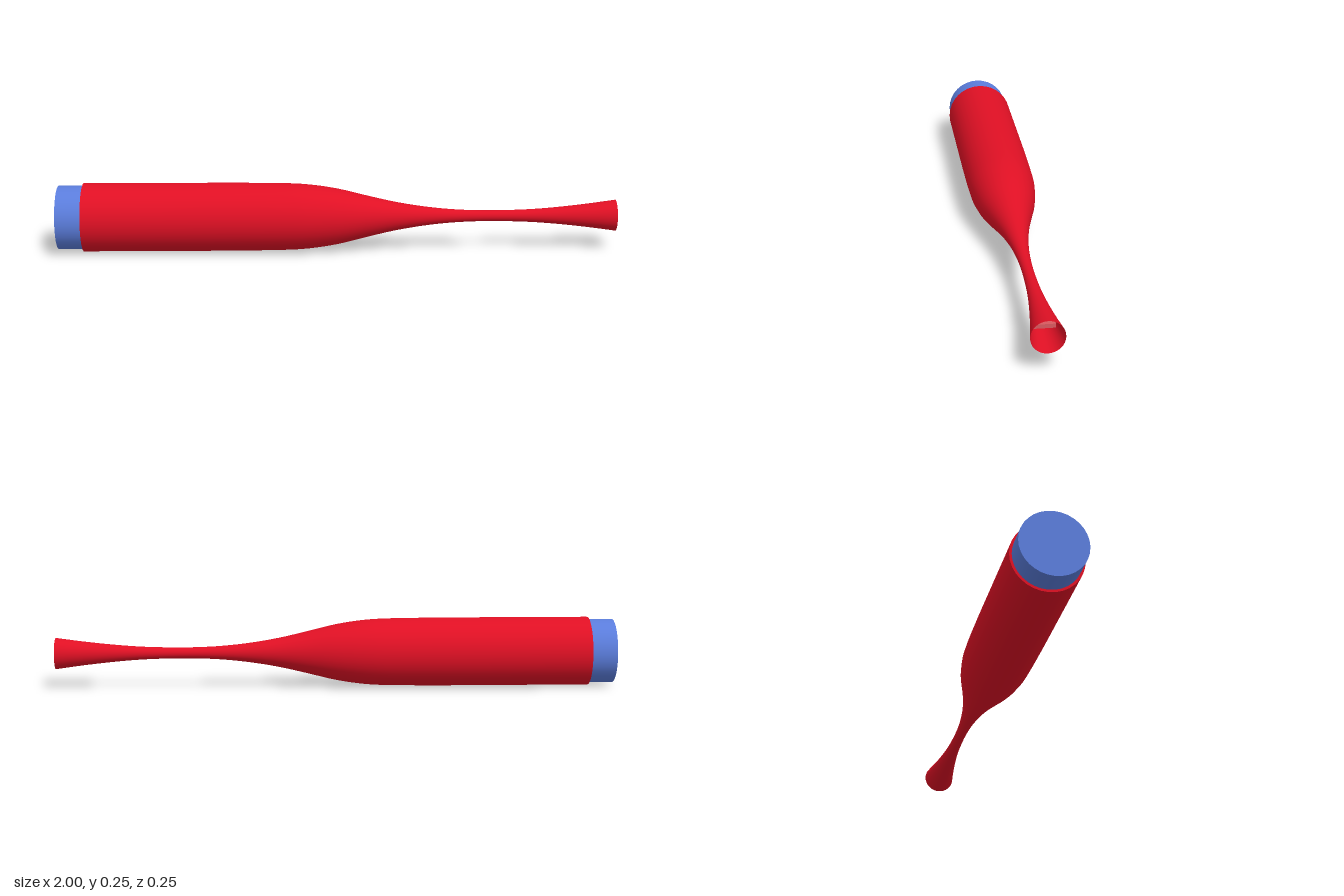
import * as THREE from 'three';

const AXIS_Y = 0.125;
const SIDES = 32;

// Turn a list of [x, radius] stations into a surface around the long axis.
function turned(stations, material, name) {
  const points = stations.map(([x, r]) => new THREE.Vector2(r, x));
  const geometry = new THREE.LatheGeometry(points, SIDES);
  geometry.rotateZ(-Math.PI / 2);
  const mesh = new THREE.Mesh(geometry, material);
  mesh.name = name;
  mesh.position.y = AXIS_Y;
  return mesh;
}

export function createModel() {
  const red = new THREE.MeshStandardMaterial({ color: 0xe01024, side: THREE.DoubleSide });
  red.name = 'red shell';
  const blue = new THREE.MeshStandardMaterial({ color: 0x5b7ddc });
  blue.name = 'blue plug';
  const pink = new THREE.MeshStandardMaterial({ color: 0xd8595f });
  pink.name = 'pink reed';

  const model = new THREE.Group();
  model.name = 'flaredTube';

  // Hollow body: straight barrel, narrow throat, flared mouth
  const curve = new THREE.SplineCurve([
    [-0.4, 0.1225], [-0.2, 0.1205], [-0.1, 0.115], [0, 0.1], [0.1, 0.076],
    [0.2, 0.053], [0.3, 0.036], [0.4, 0.025], [0.5, 0.02], [0.6, 0.02],
    [0.7, 0.0235], [0.8, 0.0315], [0.9, 0.0425], [1, 0.056],
  ].map(([x, r]) => new THREE.Vector2(x, r)));
  const flare = curve.getPoints(52).map((p) => [p.x, p.y]);
  model.add(turned([[-0.91, 0.1225], ...flare], red, 'body'));

  // Flat rim where the barrel meets the plug
  model.add(turned([[-0.91, 0.112], [-0.91, 0.1225]], red, 'barrelRim'));

  // Plug closing the wide end
  const plug = new THREE.Mesh(new THREE.CylinderGeometry(0.114, 0.114, 0.12, SIDES), blue);
  plug.name = 'plug';
  plug.rotation.z = -Math.PI / 2;
  plug.position.set(-0.94, AXIS_Y, 0);
  model.add(plug);

  // Flat reed across the mouth
  const reed = new THREE.Mesh(new THREE.BoxGeometry(0.08, 0.014, 0.07), pink);
  reed.name = 'reed';
  reed.position.set(0.89, AXIS_Y + 0.001, 0);
  model.add(reed);

  return model;
}
